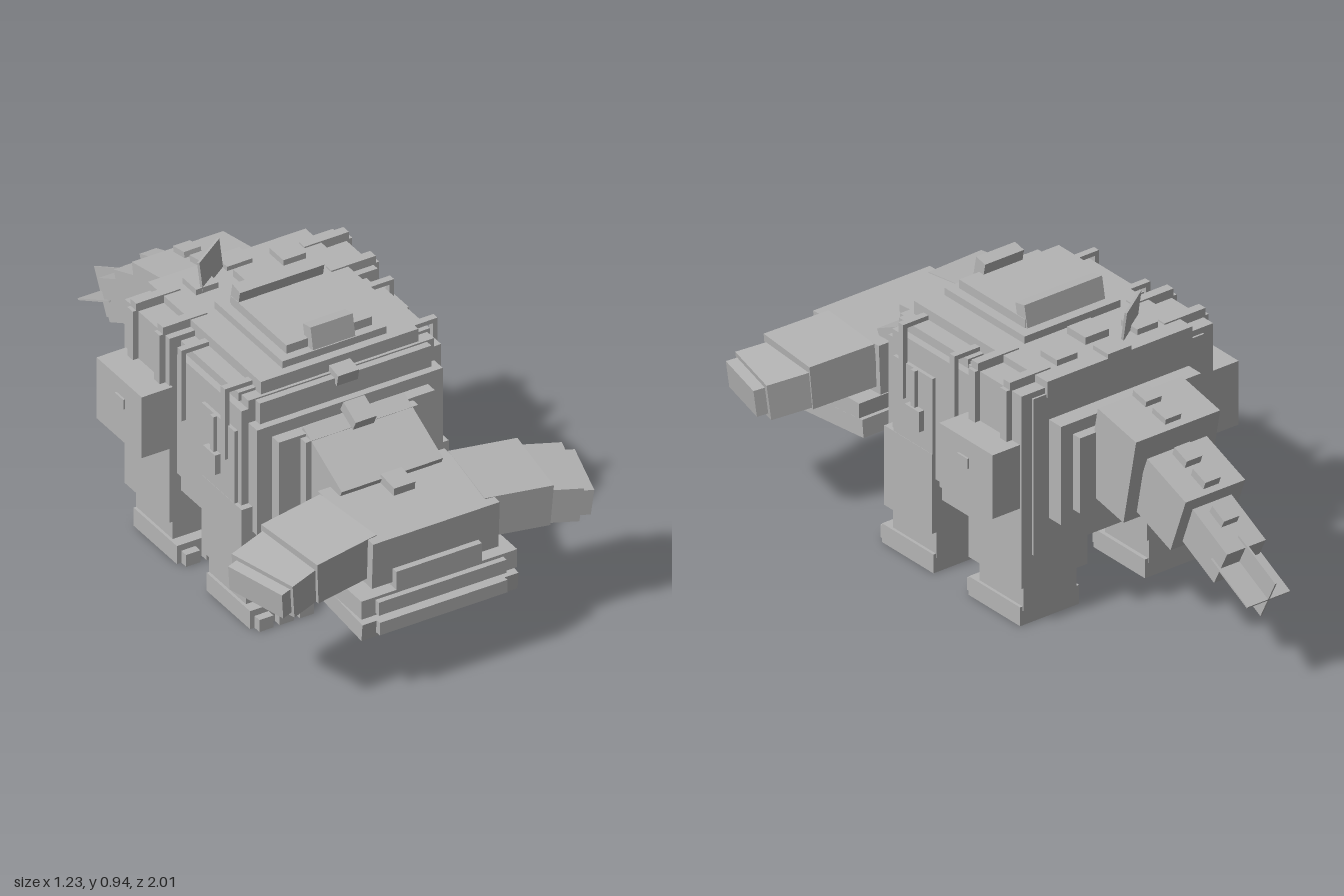
import * as THREE from 'three';

export function createModel() {
  const model = new THREE.Group();
  const grey = new THREE.MeshStandardMaterial({ color: 0xb4b4b4 });
  grey.name = 'stone grey';

  // box by centre, size and rotation
  function box(parent, name, [x, y, z], [w, h, d], [rx, ry, rz] = [0, 0, 0]) {
    const m = new THREE.Mesh(new THREE.BoxGeometry(w, h, d), grey);
    m.name = name;
    m.position.set(x, y, z);
    m.rotation.set(rx, ry, rz);
    parent.add(m);
    return m;
  }
  // box by its lower and upper limits
  function span(parent, name, x0, x1, y0, y1, z0, z1) {
    return box(parent, name, [(x0 + x1) / 2, (y0 + y1) / 2, (z0 + z1) / 2], [x1 - x0, y1 - y0, z1 - z0]);
  }
  // box centred on x = 0
  const slab = (name, hw, y0, y1, z0, z1) => span(model, name, -hw, hw, y0, y1, z0, z1);

  // body core, stepped chest and stepped rump
  slab('bodyCore', 0.33, 0.25, 0.79, -0.245, 0.41);
  slab('roof', 0.28, 0.78, 0.835, -0.25, 0.4);
  slab('chestPlate', 0.305, 0.3, 0.785, 0.4, 0.435);
  slab('chestPlate', 0.33, 0.33, 0.71, 0.4, 0.46);
  slab('chestPlate', 0.277, 0.35, 0.67, 0.45, 0.5);
  slab('chestPlate', 0.2, 0.38, 0.66, 0.49, 0.53);
  slab('rumpPlate', 0.27, 0.36, 0.7, -0.305, -0.24);
  slab('rumpPlate', 0.225, 0.4, 0.66, -0.34, -0.3);

  // saddle on the back
  slab('saddleBase', 0.185, 0.83, 0.86, -0.02, 0.37);
  slab('saddle', 0.152, 0.835, 0.89, 0.02, 0.34);
  box(model, 'saddleFront', [0, 0.895, 0.34], [0.15, 0.075, 0.045], [-0.2, 0, 0]);
  box(model, 'saddleBack', [0, 0.895, 0.04], [0.3, 0.075, 0.045], [0.2, 0, 0]);
  slab('rumpRidge', 0.045, 0.83, 0.86, -0.14, -0.05);
  slab('rumpRidge', 0.045, 0.82, 0.85, -0.25, -0.175);
  for (const s of [-1, 1]) box(model, 'rumpStud', [s * 0.155, 0.84, -0.15], [0.08, 0.03, 0.08]);

  // loose scale plates
  box(model, 'scalePlate', [-0.115, 0.89, -0.16], [0.15, 0.1, 0.008], [-0.15, 0.6, 0.08]);
  box(model, 'scalePlate', [0.07, 0.81, -0.03], [0.13, 0.05, 0.008], [0, -0.7, 0]);

  // neck
  box(model, 'neck', [0, 0.5, 0.53], [0.36, 0.285, 0.25], [0.46, 0, 0]);
  box(model, 'neckSpike', [0, 0.79, 0.41], [0.075, 0.04, 0.08], [0.2, 0, 0]);
  box(model, 'neckSpike', [0, 0.69, 0.51], [0.075, 0.04, 0.08], [0.46, 0, 0]);
  box(model, 'neckSpike', [0, 0.565, 0.735], [0.075, 0.03, 0.08], [0.1, 0, 0]);

  // hammer head and jaws
  box(model, 'head', [0, 0.465, 0.795], [0.45, 0.165, 0.32], [0.05, 0, 0]);
  slab('upperLip', 0.152, 0.34, 0.425, 0.66, 0.975);
  slab('upperJaw', 0.277, 0.295, 0.36, 0.67, 0.975);
  box(model, 'lowerJaw', [0, 0.265, 0.815], [0.555, 0.06, 0.33], [0.1, 0, 0]);
  slab('upperTeeth', 0.227, 0.303, 0.35, 0.96, 0.995);
  slab('lowerTeeth', 0.227, 0.235, 0.28, 0.95, 1.0);

  // tail: three shrinking segments ending in crossed fins
  box(model, 'tailBase', [0, 0.575, -0.41], [0.325, 0.31, 0.19], [-0.2, 0, 0]);
  box(model, 'tailMiddle', [0, 0.5, -0.585], [0.23, 0.21, 0.2], [-0.36, 0, 0]);
  box(model, 'tailEnd', [0, 0.415, -0.75], [0.15, 0.14, 0.19], [-0.47, 0, 0]);
  box(model, 'tailFin', [0, 0.345, -0.885], [0.006, 0.16, 0.2], [-0.47, 0, 0]);
  box(model, 'tailFin', [0, 0.345, -0.885], [0.165, 0.006, 0.2], [-0.47, 0, 0]);
  const spikes = [[0.735, -0.38, -0.2], [0.715, -0.475, -0.2], [0.62, -0.575, -0.36], [0.585, -0.665, -0.36], [0.495, -0.755, -0.47]];
  for (const [y, z, r] of spikes) box(model, 'tailSpike', [0, y, z], [0.06, 0.05, 0.065], [r, 0, 0]);

  // everything that is mirrored: built on +x, flipped for the other side
  for (const s of [1, -1]) {
    const side = new THREE.Group();
    side.name = s > 0 ? 'leftSide' : 'rightSide';
    side.scale.x = s;
    model.add(side);

    // legs
    span(side, 'frontUpperLeg', 0.115, 0.368, 0.145, 0.42, 0.2, 0.433);
    span(side, 'rearThigh', 0.115, 0.37, 0.145, 0.81, -0.238, 0.02);
    for (const dz of [0, -0.422]) {
      span(side, 'shin', 0.14, 0.345, 0.05, 0.16, 0.207 + dz, 0.42 + dz);
      span(side, 'foot', 0.127, 0.355, 0, 0.065, 0.21 + dz, 0.46 + dz);
      for (const x of [0.17, 0.242, 0.314]) span(side, 'toe', x - 0.025, x + 0.025, 0, 0.043, 0.45 + dz, 0.488 + dz);
    }

    // flank panel with its latch and rods
    span(side, 'flankPanel', 0.32, 0.355, 0.33, 0.76, 0.04, 0.41);
    span(side, 'flankPlate', 0.35, 0.367, 0.42, 0.68, 0.2, 0.39);
    span(side, 'latch', 0.36, 0.387, 0.485, 0.555, 0.24, 0.31);
    span(side, 'rod', 0.36, 0.38, 0.55, 0.68, 0.27, 0.29);
    span(side, 'roofTrim', 0.27, 0.34, 0.77, 0.8, 0.06, 0.37);

    // saddlebag hung on two straps
    span(side, 'saddlebag', 0.365, 0.475, 0.42, 0.64, -0.23, 0.03);
    span(side, 'bagClasp', 0.47, 0.482, 0.545, 0.58, -0.115, -0.065);
    for (const z of [-0.175, -0.02]) {
      span(side, 'strapTop', 0.22, 0.378, 0.8, 0.84, z - 0.016, z + 0.016);
      span(side, 'strap', 0.365, 0.39, 0.5, 0.815, z - 0.016, z + 0.016);
    }
    // bent rails at the roof edge
    for (const z of [0.09, 0.34]) {
      span(side, 'railTop', 0.27, 0.378, 0.8, 0.815, z - 0.012, z + 0.012);
      span(side, 'rail', 0.362, 0.378, 0.56, 0.815, z - 0.012, z + 0.012);
    }

    // hammer wing, in swept segments
    box(side, 'headWing', [0.32, 0.47, 0.802], [0.23, 0.145, 0.27], [0.04, -0.13, -0.06]);
    box(side, 'headWingOuter', [0.475, 0.447, 0.825], [0.15, 0.12, 0.25], [0.04, -0.28, -0.1]);
    box(side, 'eye', [0.548, 0.438, 0.85], [0.07, 0.09, 0.22], [0.04, -0.28, -0.1]);
  }
  return model;
}
